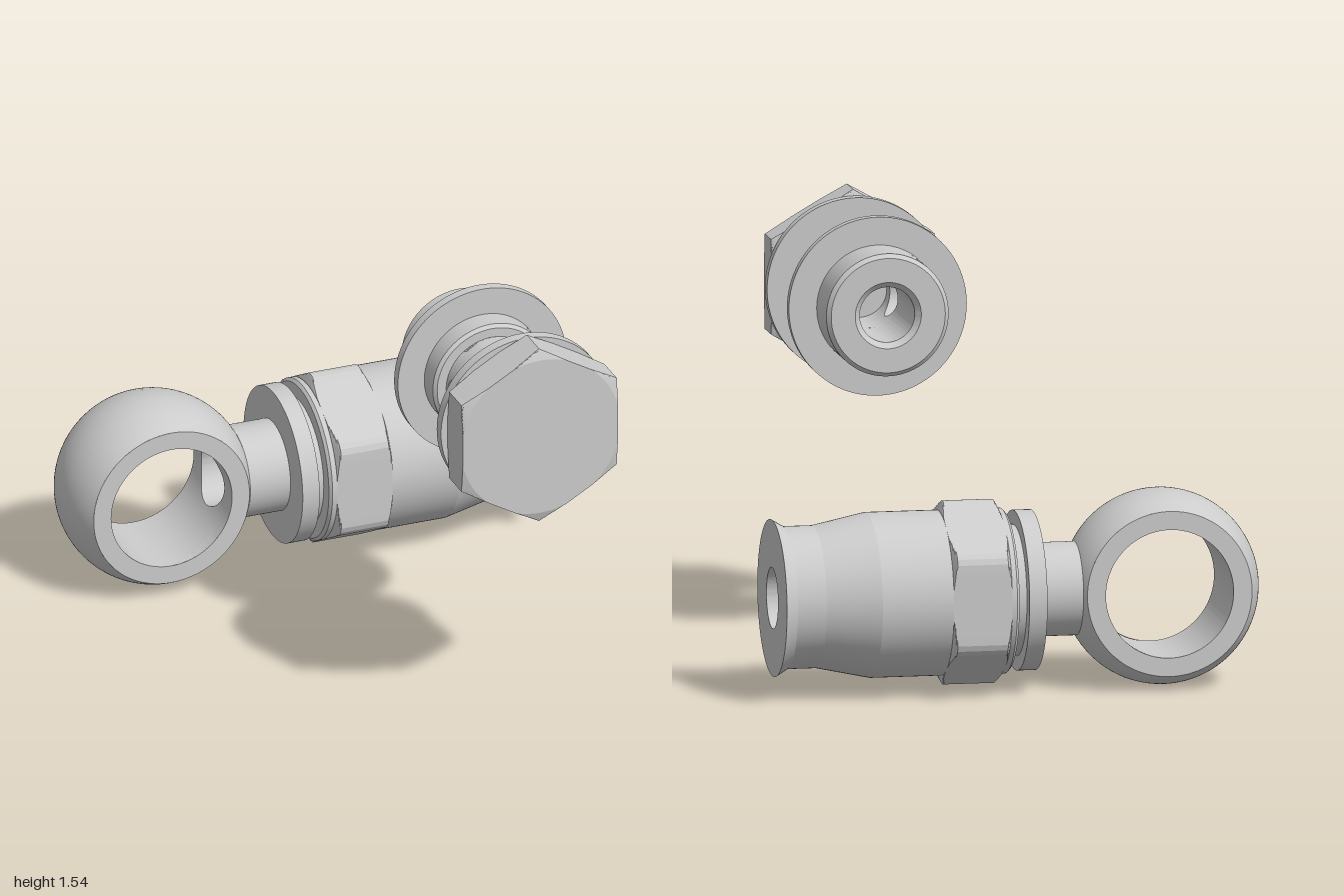
import * as THREE from 'three';
import { toCreasedNormals } from 'three/addons/utils/BufferGeometryUtils.js';
import { ParametricGeometry } from 'three/addons/geometries/ParametricGeometry.js';

const material = new THREE.MeshStandardMaterial({ color: 0xcccccc });
const SEGMENTS = 96;

function addMesh(parent, name, geometry) {
  const mesh = new THREE.Mesh(toCreasedNormals(geometry, 0.19), material);
  mesh.name = name;
  parent.add(mesh);
  return mesh;
}

// Turned profile of [radius, position along axis] points
function turned(points, start = 0, length = Math.PI * 2) {
  const profile = points.map(([r, h]) => new THREE.Vector2(r, h));
  return new THREE.LatheGeometry(profile, SEGMENTS, start, length);
}
const alongX = (g) => g.rotateY(Math.PI / 2).rotateZ(-Math.PI / 2);
const alongZ = (g) => g.rotateX(Math.PI / 2);

// Hexagon cut from a chamfered round blank
function hexagon(apothem, blankRadius, from, to) {
  const chamfer = 0.014, low = apothem + 0.006, steps = 5;
  const points = [[0, from]];
  for (let i = 0; i <= steps; i++) {
    const t = i / steps;
    points.push([low + (blankRadius - low) * t, from + chamfer * t]);
  }
  for (let i = 0; i <= steps; i++) {
    const t = 1 - i / steps;
    points.push([low + (blankRadius - low) * t, to - chamfer * t]);
  }
  points.push([0, to]);
  const g = turned(points), p = g.attributes.position, sector = Math.PI / 3;
  for (let i = 0; i < p.count; i++) {
    const x = p.getX(i), z = p.getZ(i), r = Math.hypot(x, z);
    if (r < 1e-6) continue;
    const a = Math.atan2(x, z) - sector / 2;
    const limit = apothem / Math.cos(a - Math.round(a / sector) * sector);
    const k = Math.min(1, limit / r);
    p.setX(i, x * k);
    p.setZ(i, z * k);
  }
  return g;
}

// Half of a round wall about z, with a cross hole along +x.
// radiusAt(z) gives the wall radius.
function drilledWall(radiusAt, halfLength, hole, inward = false) {
  return new ParametricGeometry((u, v, target) => {
    const a = (inward ? -1 : 1) * v * Math.PI * 2;
    const c = Math.cos(a), s = Math.sin(a), m = Math.max(Math.abs(c), Math.abs(s));
    const rimAngle = Math.asin(hole * c / radiusAt(hole * s));
    const angle = THREE.MathUtils.lerp(rimAngle, c / m * Math.PI / 2, u);
    const z = THREE.MathUtils.lerp(hole * s, s / m * halfLength, u);
    const r = radiusAt(z);
    target.set(r * Math.cos(angle), r * Math.sin(angle), z);
  }, 16, 160);
}

// Lining of the cross hole between two round walls
function holeLining(hole, innerAt, outerAt) {
  return new ParametricGeometry((u, v, target) => {
    const a = v * Math.PI * 2, y = hole * Math.cos(a), z = hole * Math.sin(a);
    const depth = (radiusAt) => Math.sqrt(radiusAt(z) ** 2 - y * y);
    target.set(THREE.MathUtils.lerp(depth(innerAt), depth(outerAt), u), y, z);
  }, 1, SEGMENTS);
}

function createHoseEnd() {
  const fitting = new THREE.Group();
  fitting.name = 'hoseEnd';
  fitting.position.set(0, 0.352, -0.704);

  // Spherical eye with a through hole and a side port
  const eye = new THREE.Group();
  eye.name = 'eye';
  eye.position.x = -0.528;
  fitting.add(eye);
  const R = 0.352, inner = 0.232, half = 0.186, bore = 0.11;
  const sphereAt = (z) => Math.sqrt(R * R - z * z), innerAt = () => inner;
  addMesh(eye, 'eyeOuterPortSide', drilledWall(sphereAt, half, bore));
  addMesh(eye, 'eyeInnerPortSide', drilledWall(innerAt, half, bore, true));
  addMesh(eye, 'eyePort', holeLining(bore, innerAt, sphereAt));
  const profile = [[inner, half], [inner, -half]];
  for (let i = 0; i <= 24; i++) {
    const z = -half + 2 * half * i / 24;
    profile.push([sphereAt(z), z]);
  }
  addMesh(eye, 'eyeFarSide', alongZ(turned(profile, Math.PI, Math.PI)));
  for (const side of [1, -1]) {
    const face = new THREE.RingGeometry(inner, sphereAt(half), SEGMENTS);
    if (side < 0) face.rotateY(Math.PI);
    addMesh(eye, 'eyeFace', face.translate(0, 0, side * half));
  }

  // Neck with its stepped flange
  addMesh(fitting, 'neck', alongX(turned([
    [0.168, -0.235], [0.168, -0.065], [0.287, -0.065], [0.287, 0],
    [0.235, 0], [0.235, 0.036],
  ])));

  // Collar, tapered sleeve, flared mouth and bore
  addMesh(fitting, 'sleeve', alongX(turned([
    [0.235, 0.036], [0.285, 0.036], [0.296, 0.046], [0.296, 0.535],
    [0.255, 0.73], [0.255, 0.835], [0.282, 0.88], [bore, 0.88],
    [bore, -0.528 + Math.sqrt(R * R - bore * bore)],
  ])));

  // Hexagonal band, open in the middle for the bore
  const nut = hexagon(0.296, 0.333, 0.065, 0.276);
  const p = nut.attributes.position;
  for (let i = 0; i < p.count; i++) {
    const r = Math.hypot(p.getX(i), p.getZ(i));
    if (r > 1e-6) continue;
    const a = Math.floor(i / 14) / SEGMENTS * Math.PI * 2;
    p.setX(i, 0.28 * Math.sin(a));
    p.setZ(i, 0.28 * Math.cos(a));
  }
  addMesh(fitting, 'sleeveHexagon', alongX(nut));
  return fitting;
}

function createBolt() {
  const bolt = new THREE.Group();
  bolt.name = 'hollowBolt';
  bolt.position.set(0.285, 1.2, 0);
  const bore = 0.1, neck = 0.176, shank = 0.222, back = 0.53, front = 0.705;

  // Shank end with a chamfered bore mouth
  addMesh(bolt, 'shank', alongZ(turned([
    [bore, back], [bore, 0.22], [0.12, 0.2], [0.207, 0.2], [shank, 0.215],
    [shank, back - 0.012], [shank - 0.012, back], [neck, back],
  ])));

  // Narrow waist with a cross hole from side to side
  const half = (front - back) / 2, hole = 0.074;
  for (const turn of [0, Math.PI]) {
    const waist = new THREE.Group();
    waist.name = 'waistHalf';
    waist.position.z = back + half;
    waist.rotation.z = turn;
    addMesh(waist, 'waistOuter', drilledWall(() => neck, half, hole));
    addMesh(waist, 'waistBore', drilledWall(() => bore, half, hole, true));
    addMesh(waist, 'crossHole', holeLining(hole, () => bore, () => neck));
    bolt.add(waist);
  }

  // Shoulder, blind end of the bore and head
  addMesh(bolt, 'boreEnd', alongZ(turned([[0, 0.75], [bore, 0.75], [bore, front]])));
  addMesh(bolt, 'shoulder', alongZ(turned([[neck, front], [shank, front], [shank, 0.815]])));
  addMesh(bolt, 'head', alongZ(hexagon(0.298, 0.344, 0.852, 1)));

  // Two sealing washers
  for (const [name, from, to] of [['headWasher', 0.81, 0.852], ['looseWasher', 0.398, 0.435]]) {
    addMesh(bolt, name, alongZ(turned([
      [shank - 0.005, from], [0.323, from], [0.323, to], [shank - 0.005, to],
    ])));
  }
  return bolt;
}

export function createModel() {
  const model = new THREE.Group();
  model.name = 'banjoFitting';
  model.add(createHoseEnd(), createBolt());
  return model;
}
